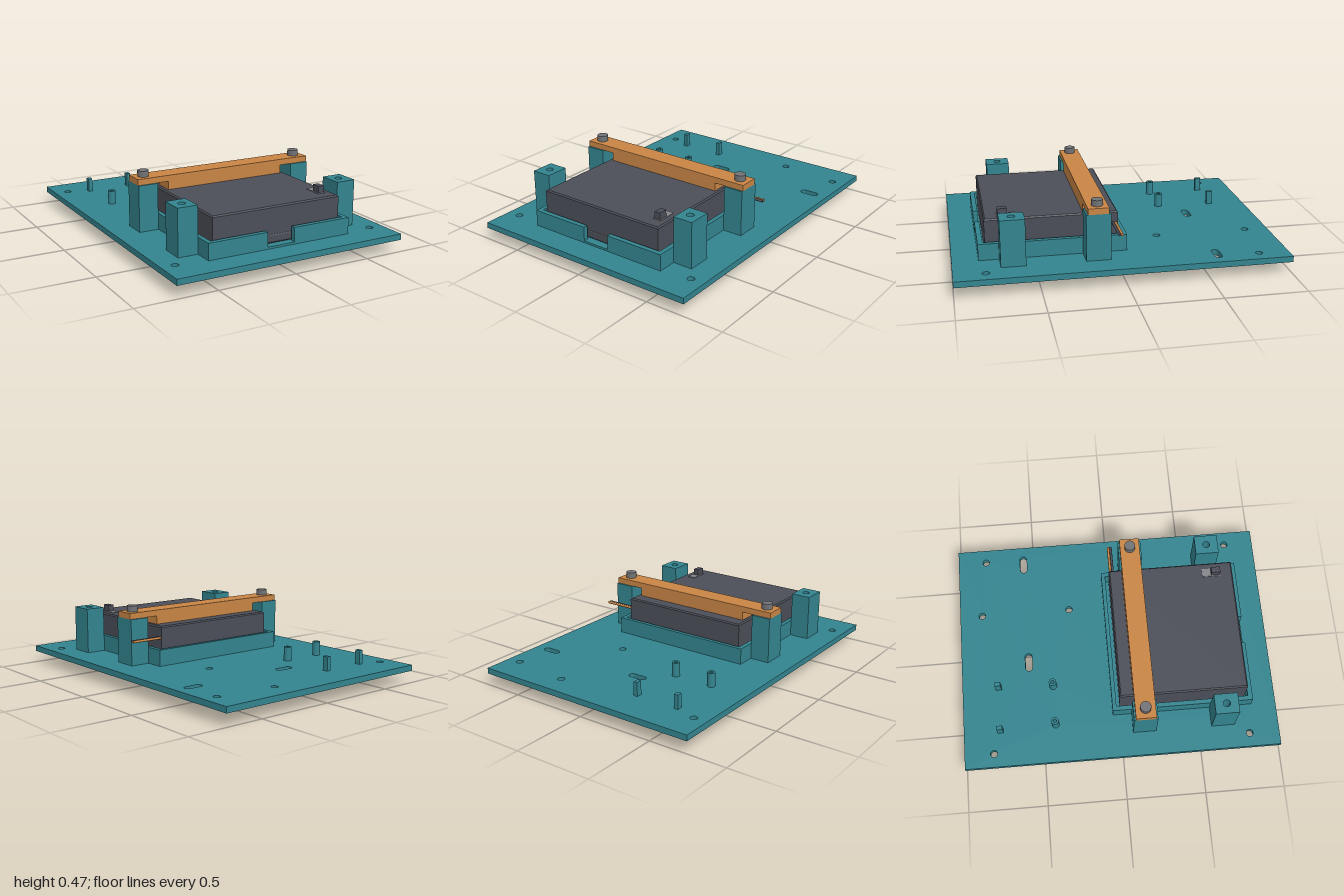
import * as THREE from 'three';

const mat = (name, color) => {
  const m = new THREE.MeshStandardMaterial({ color });
  m.name = name;
  return m;
};

export function createModel() {
  const root = new THREE.Group();
  const teal = mat('teal plastic', 0x33848f);
  const orange = mat('orange plastic', 0xc98545);
  const dark = mat('dark grey case', 0x4b4e58);
  const steel = mat('steel', 0x727376);
  const pale = mat('pale grey', 0x85868a);

  const add = (name, geo, material) => {
    const mesh = new THREE.Mesh(geo, material);
    mesh.name = name;
    root.add(mesh);
    return mesh;
  };
  const box = (name, m, x0, x1, y0, y1, z0, z1) =>
    add(name, new THREE.BoxGeometry(x1 - x0, y1 - y0, z1 - z0), m)
      .position.set((x0 + x1) / 2, (y0 + y1) / 2, (z0 + z1) / 2);
  const rod = (name, m, r, x, y0, y1, z, sides = 24) =>
    add(name, new THREE.CylinderGeometry(r, r, y1 - y0, sides), m)
      .position.set(x, (y0 + y1) / 2, z);

  // Outlines are given in (x, z) and raised from y0 to y1
  const outline = pts => new THREE.Shape(pts.map(([x, z]) => new THREE.Vector2(x, -z)));
  const rect = (x0, x1, z0, z1) => outline([[x0, z1], [x1, z1], [x1, z0], [x0, z0]]);
  const circle = (x, z, r) => new THREE.Path().absarc(x, -z, r, 0, Math.PI * 2, true);
  const slot = (x, z, half, r) => new THREE.Path()
    .absarc(x + half, -z, r, -Math.PI / 2, Math.PI / 2, false)
    .absarc(x - half, -z, r, Math.PI / 2, Math.PI * 1.5, false);
  const raise = (name, m, shape, y0, y1, holes = []) => {
    shape.holes.push(...holes);
    const geo = new THREE.ExtrudeGeometry(shape, { depth: y1 - y0, bevelEnabled: false, curveSegments: 16 });
    geo.rotateX(-Math.PI / 2).translate(0, y0, 0);
    return add(name, geo, m);
  };

  const floor = 0.075, deck = 0.112, boltZ = 0.147, postZ = 0.647, boltX = 0.537;
  const pins = [[-0.506, -0.415], [-0.25, -0.415]];

  // Base plate with mounting holes and slots
  const holes = [[-0.664, -0.815], [0.661, -0.815], [0.274, -0.855], [0.274, -0.278],
    [-0.664, 0.81], [0.661, 0.81], [-boltX, postZ], [boltX, postZ], [-boltX, boltZ], [boltX, boltZ]]
    .map(([x, z]) => circle(x, z, 0.022));
  holes.push(...pins.map(([x, z]) => circle(x, z, 0.011)));
  holes.push(slot(-0.074, -0.564, 0.037, 0.023), slot(0.625, -0.564, 0.037, 0.023));
  raise('basePlate', teal, rect(-0.75, 0.75, -1, 1), floor, deck, holes);

  // Hollow standoffs and square pegs
  for (const [x, z] of pins) {
    const ring = new THREE.Shape().absarc(x, -z, 0.024, 0, Math.PI * 2, false);
    raise('standoff', teal, ring, deck, 0.2, [circle(x, z, 0.011)]);
  }
  for (const x of [-0.521, -0.235]) box('locatingPeg', teal, x - 0.013, x + 0.013, deck, 0.2, -0.785, -0.748);

  // Cradle: low floor and a wall with a gap at the front
  const W = 0.475, I = 0.447, B = -0.047, F = 0.843, N = 0.09;
  box('cradleFloor', teal, -W, W, deck, 0.125, B, F);
  raise('cradleWall', teal, outline([[N, F], [W, F], [W, B], [-W, B], [-W, F], [-N, F],
    [-N, 0.813], [-I, 0.813], [-I, -0.022], [I, -0.022], [I, 0.813], [N, 0.813]]), 0.125, 0.214);

  // Four clamp posts, drilled through
  for (const s of [-1, 1]) for (const z of [boltZ, postZ]) {
    const a = s * 0.475, b = s * 0.6;
    raise('clampPost', teal, rect(Math.min(a, b), Math.max(a, b), z - 0.074, z + 0.074),
      deck, 0.4, [circle(s * boltX, z, 0.022)]);
  }

  // Battery case with small chamfers
  const c = 0.008;
  const caseGeo = new THREE.ExtrudeGeometry(rect(-0.427 + c, 0.427 - c, c, 0.8 - c),
    { depth: 0.223 - 2 * c, bevelSize: c, bevelThickness: c, bevelSegments: 1 });
  caseGeo.rotateX(-Math.PI / 2).translate(0, 0.125 + c, 0);
  add('batteryCase', caseGeo, dark);
  box('caseSeam', pale, -N, N, 0.174, 0.178, 0.799, 0.803);

  // Switch on the case
  box('switchPlate', pale, 0.333, 0.386, 0.346, 0.352, 0.603, 0.722);
  box('switchKnob', dark, 0.34, 0.378, 0.346, 0.392, 0.66, 0.717);

  // Pair of leads leaving the side
  for (const [name, m, z] of [['orangeLead', orange, 0.013], ['darkLead', dark, 0.029]]) {
    const lead = new THREE.CylinderGeometry(0.008, 0.008, 0.21, 12).rotateZ(Math.PI / 2);
    add(name, lead, m).position.set(0.523, 0.275, z);
  }

  // Clamp bar with a thicker middle pressing on the case
  const bar = new THREE.Shape([[-0.6, 0.4], [-0.4, 0.4], [-0.4, 0.348], [0.4, 0.348],
    [0.4, 0.4], [0.6, 0.4], [0.6, 0.437], [-0.6, 0.437]].map(p => new THREE.Vector2(...p)));
  add('clampBar', new THREE.ExtrudeGeometry(bar, { depth: 0.126, bevelEnabled: false }), orange)
    .position.z = boltZ - 0.063;

  // Bolts and hex nuts
  for (const x of [-boltX, boltX]) {
    rod('boltHead', steel, 0.034, x, 0.437, 0.474, boltZ);
    rod('boltShaft', steel, 0.018, x, 0, 0.437, boltZ);
    rod('hexNut', steel, 0.04, x, 0.045, floor, boltZ, 6);
  }
  return root;
}
